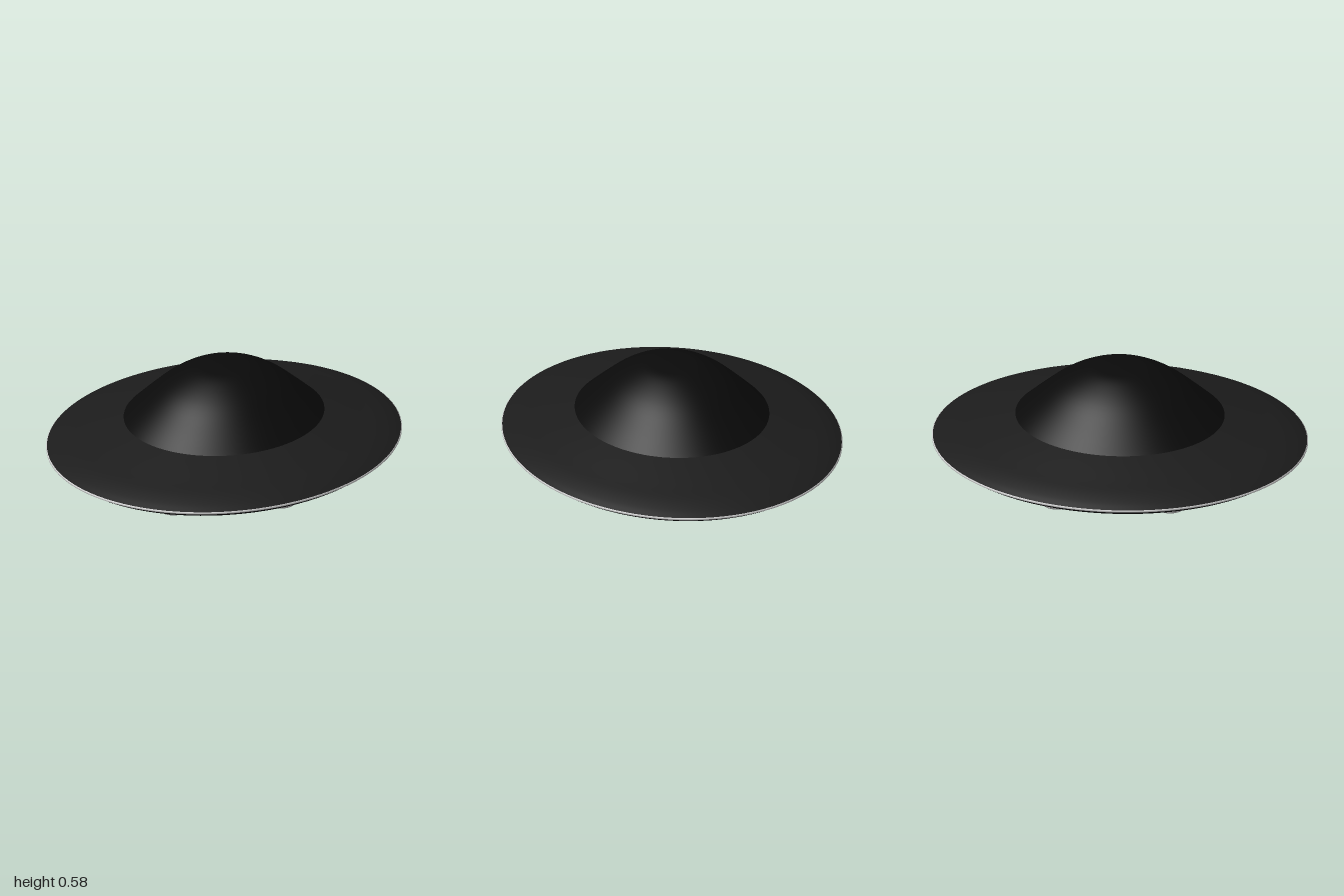
import * as THREE from 'three';
import { mergeVertices } from 'three/addons/utils/BufferGeometryUtils.js';

const paint = (color) => new THREE.MeshStandardMaterial({ color });
const domePaint = paint(0x0a0a0a);
const deckPaint = paint(0x1c1c1c);
const bellyPaint = paint(0x0e0e0e);
const grey = paint(0xcccccc);

// Smooth elliptical shell from rings [half width x, half depth z, height], listed bottom to top
// (or centre outwards on the underside). A curved shell runs a spline through the rings.
function shell(name, rings, material, curved = false) {
  let rows = rings.map((r) => new THREE.Vector3(...r));
  if (curved) rows = new THREE.CatmullRomCurve3(rows).getPoints(24);
  let geo = new THREE.LatheGeometry(rows.map((r) => new THREE.Vector2(r.x, r.z)), 96);
  const pos = geo.attributes.position;
  for (let i = 0; i < pos.count; i++) {
    const r = rows[i % rows.length];
    if (r.x > 1e-6) pos.setZ(i, (pos.getZ(i) * r.y) / r.x);
  }
  geo.deleteAttribute('normal');
  geo.deleteAttribute('uv');
  geo = mergeVertices(geo, 1e-5);
  geo.computeVertexNormals();
  const mesh = new THREE.Mesh(geo, material);
  mesh.name = name;
  return mesh;
}

export function createModel() {
  const model = new THREE.Group();
  model.name = 'flyingSaucer';

  // Dome with a softly flattened crown
  model.add(shell('dome', [
    [0.556, 0.506, 0.298], [0.45, 0.41, 0.393], [0.34, 0.31, 0.484], [0.24, 0.22, 0.542],
    [0.15, 0.14, 0.576], [0.08, 0.075, 0.583], [0, 0, 0.585],
  ], domePaint, true));

  // Sloping upper hull
  model.add(shell('upperHull', [
    [0.995, 0.876, 0.162], [0.95, 0.838, 0.183], [0.88, 0.778, 0.209],
    [0.78, 0.694, 0.237], [0.66, 0.594, 0.27], [0.556, 0.506, 0.298],
  ], deckPaint, true));

  // Bright strip around the rim
  model.add(shell('rimStrip', [
    [0.995, 0.876, 0.149], [1, 0.88, 0.152], [1, 0.88, 0.159], [0.995, 0.876, 0.162],
  ], grey));

  // Underside, blending from a round base to the oval rim
  model.add(shell('lowerHull', [
    [0.405, 0.403, 0], [0.62, 0.568, 0.046], [0.82, 0.725, 0.086],
    [0.9, 0.793, 0.104], [0.955, 0.841, 0.124], [0.995, 0.876, 0.149],
  ], bellyPaint));

  // Shallow recess in the base
  model.add(shell('recessWall', [[0.387, 0.385, 0.03], [0.405, 0.403, 0]], bellyPaint));
  model.add(shell('recessFloor', [[0, 0, 0.03], [0.387, 0.385, 0.03]], bellyPaint));

  // Eight flattened lamps following the slope of the underside
  const lampGeo = new THREE.SphereGeometry(1, 32, 20);
  for (let i = 0; i < 8; i++) {
    const angle = THREE.MathUtils.degToRad(28 + 45 * i);
    const lamp = new THREE.Mesh(lampGeo, grey);
    lamp.name = 'lamp' + (i + 1);
    lamp.position.set(0.8 * Math.sin(angle), 0.079, 0.708 * Math.cos(angle));
    lamp.rotation.set(-0.2, angle, 0, 'YXZ');
    lamp.scale.set(0.07, 0.023, 0.082);
    model.add(lamp);
  }
  return model;
}
